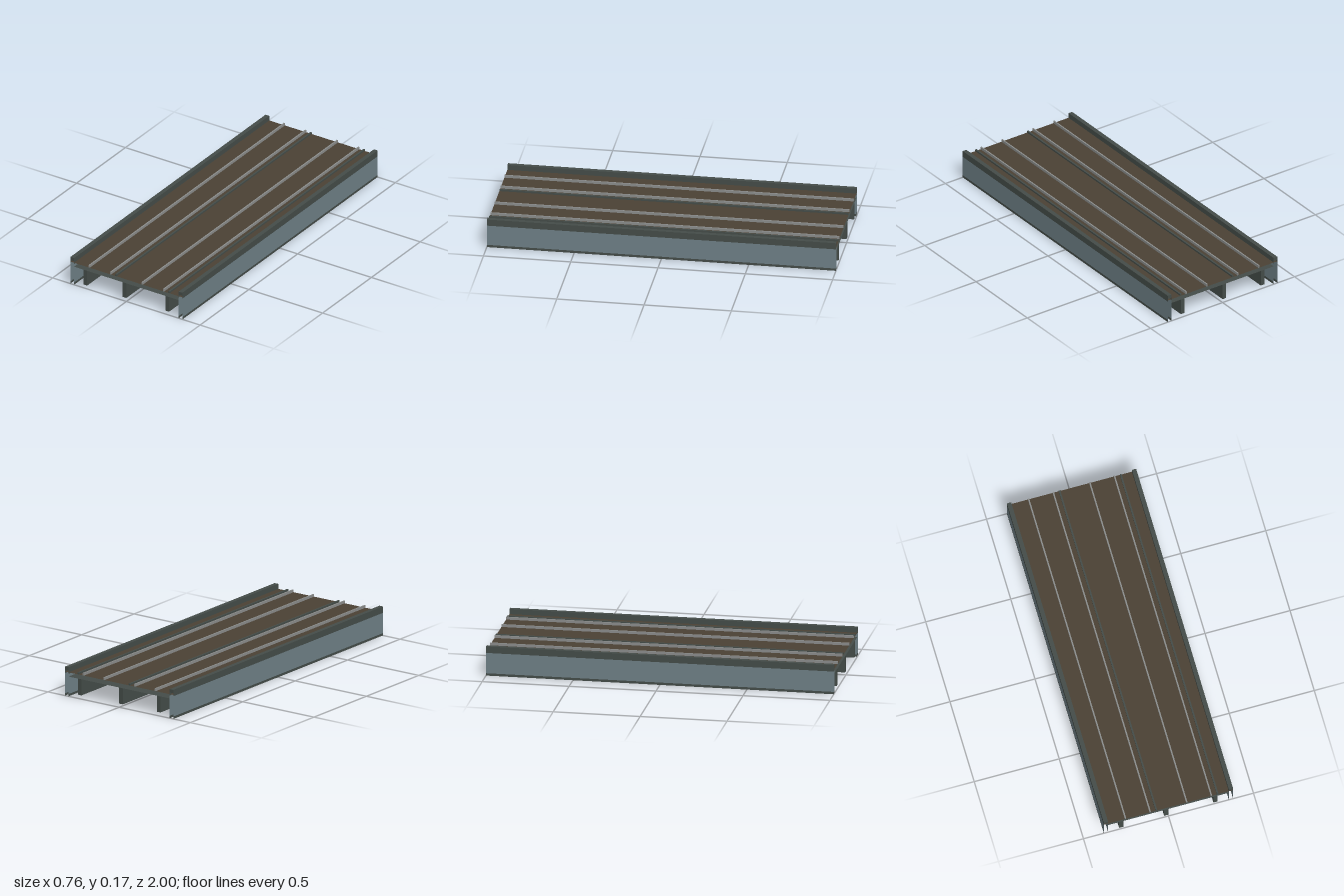
import * as THREE from 'three';

const material = (name, color, open = false) => {
  const m = new THREE.MeshStandardMaterial({ color });
  m.name = name;
  if (open) m.side = THREE.DoubleSide;
  return m;
};

export function createModel() {
  const group = new THREE.Group();
  const steel = material('dark steel', 0x444c48, true);
  const panel = material('blue grey panel', 0x6e7f86, true);
  const timber = material('brown timber', 0x4b4134, true);
  const rail = material('rail grey', 0x8a8c8b);
  const LENGTH = 2;

  // Solid bar running the full length
  const bar = (name, x0, x1, y0, y1, mat) => {
    const mesh = new THREE.Mesh(new THREE.BoxGeometry(x1 - x0, y1 - y0, LENGTH), mat);
    mesh.position.set((x0 + x1) / 2, (y0 + y1) / 2, 0);
    mesh.name = name;
    group.add(mesh);
  };

  // Horizontal sheet facing up
  const sheet = (name, halfWidth, y, mat) => {
    const mesh = new THREE.Mesh(new THREE.PlaneGeometry(halfWidth * 2, LENGTH), mat);
    mesh.rotation.x = -Math.PI / 2;
    mesh.position.y = y;
    mesh.name = name;
    group.add(mesh);
  };

  // Upright sheet facing sideways
  const web = (name, x, y0, y1, mat) => {
    const mesh = new THREE.Mesh(new THREE.PlaneGeometry(LENGTH, y1 - y0), mat);
    mesh.rotation.y = Math.PI / 2;
    mesh.position.set(x, (y0 + y1) / 2, 0);
    mesh.name = name;
    group.add(mesh);
  };

  // Deck: timber surface over a steel underside
  sheet('deckSurface', 0.38, 0.142, timber);
  sheet('deckUnderside', 0.355, 0.117, steel);

  // Side girders: paired webs with dark edges, and a curb on top
  for (const side of [-1, 1]) {
    for (const x of [0.38, 0.355]) {
      web('sideBottomEdge', side * x, 0, 0.014, steel);
      web('sidePanel', side * x, 0.014, 0.134, panel);
      web('sideTopEdge', side * x, 0.134, 0.152, steel);
    }
    const cx = side * 0.3675;
    bar('curb', cx - 0.0125, cx + 0.0125, 0.152, 0.172, steel);
  }

  // Floor beams under the deck
  for (const x of [-0.278, -0.013, 0.277]) {
    bar('floorBeam', x - 0.0125, x + 0.0125, 0.022, 0.117, steel);
  }

  // Two tracks of running rails
  for (const x of [-0.253, -0.108, 0.107, 0.252]) {
    bar('runningRail', x - 0.004, x + 0.004, 0.142, 0.157, rail);
  }

  // Low dark power rails
  for (const x of [-0.071, 0.289]) {
    bar('powerRail', x - 0.005, x + 0.005, 0.143, 0.153, steel);
  }

  return group;
}
